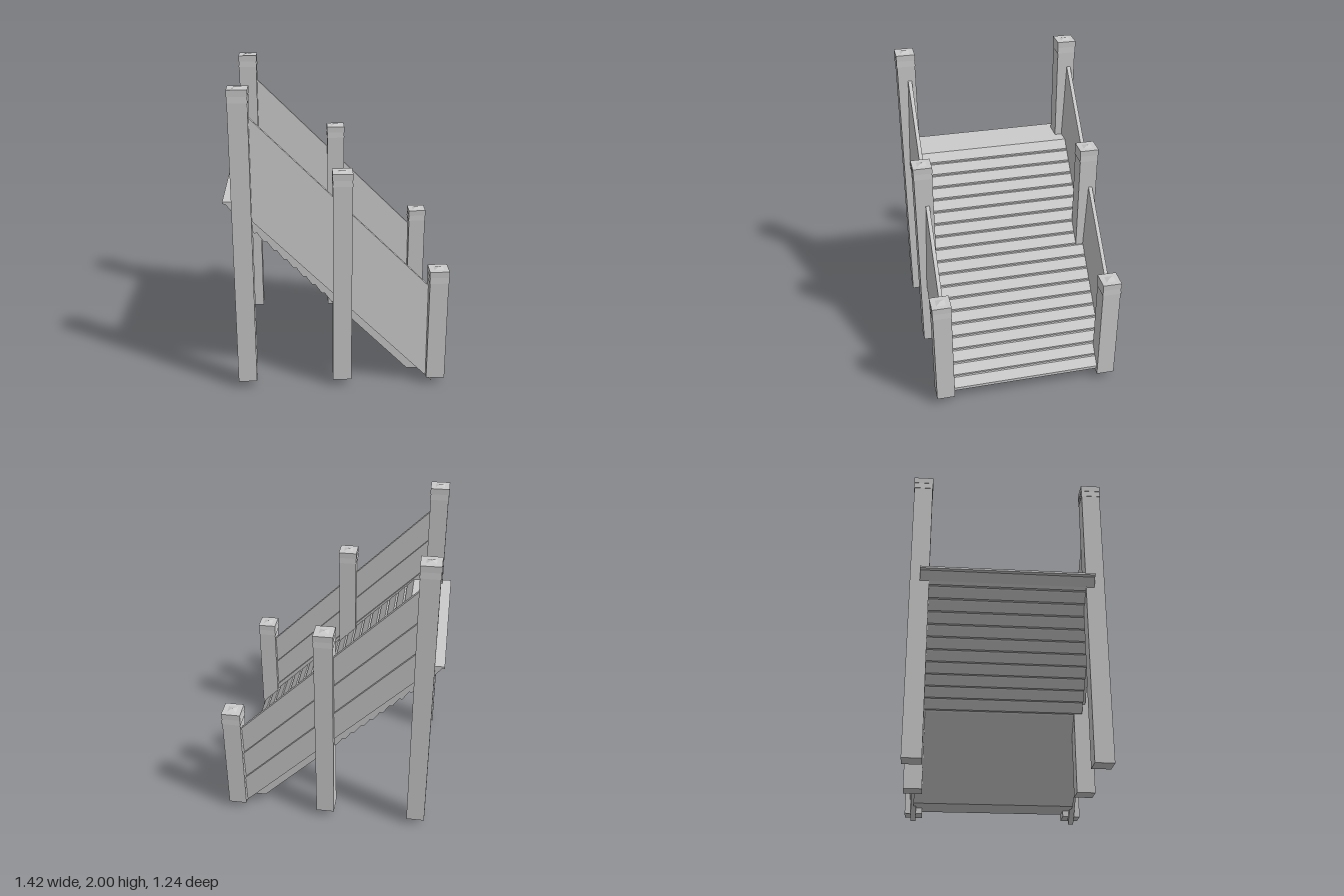
import * as THREE from 'three';

const material = new THREE.MeshStandardMaterial({ color: 0xcccccc, flatShading: true });

function part(name, geometry, parent) {
  const mesh = new THREE.Mesh(geometry, material);
  mesh.name = name;
  parent.add(mesh);
  return mesh;
}

function extrude(points, depth) {
  const shape = new THREE.Shape(points.map(([x, y]) => new THREE.Vector2(x, y)));
  return new THREE.ExtrudeGeometry(shape, { depth, bevelEnabled: false });
}

// Square frustum standing on y = 0
function frustum(topWidth, bottomWidth, height) {
  return new THREE.CylinderGeometry(topWidth / Math.SQRT2, bottomWidth / Math.SQRT2, height, 4)
    .rotateY(Math.PI / 4).translate(0, height / 2, 0);
}

// Square post with a two-band cap and a small pyramid on top
function createPost(x, z, top) {
  const post = new THREE.Group();
  post.name = 'post';
  const base = 0.05, capBottom = top - 0.09;
  part('postShaft', frustum(0.12, 0.12, capBottom - base), post).position.y = base;
  part('capBand', frustum(0.12, 0.126, 0.04), post).position.y = capBottom;
  part('capBlock', frustum(0.125, 0.125, 0.04), post).position.y = top - 0.05;
  part('capPyramid', frustum(0, 0.06, 0.01), post).position.y = top - 0.01;
  post.position.set(x, 0, z);
  return post;
}

// Sloping side wall: slanted front face, three overlapping boards on the back
function createSideWall() {
  const x0 = -0.59, x1 = 0.625, bottom = 0.63, height = 0.645, boards = 3;
  const points = [[-0.025, 0], [0, height]]; // [-z, height above lower edge]
  for (let i = boards; i > 0; i--) {
    points.push([0.025, (height * i) / boards], [0.01, (height * (i - 1)) / boards]);
  }
  points.reverse();
  const geometry = extrude(points, x1 - x0).rotateY(Math.PI / 2).translate(x0, bottom, 0);
  const p = geometry.attributes.position;
  for (let i = 0; i < p.count; i++) p.setY(i, p.getY(i) - p.getX(i)); // shear to the slope
  geometry.computeVertexNormals();
  return geometry;
}

// Solid ramp with a flat landing, ribbed planks above and a stepped underside
function createRamp() {
  const points = [];
  // Underside steps, from the landing edge to the middle posts
  points.push([-0.71, 1.28], [-0.71, 1.267], [-0.69, 1.262], [-0.65, 1.21]);
  const lumps = 11;
  for (let i = 0; i < lumps; i++) {
    const x = -0.64 + i * 0.06;
    points.push([x, 0.55 - x], [x + 0.02, 0.55 - x], [x + 0.025, 0.54 - x]);
  }
  points.push([0.05, 0.505], [0.46, 0.09], [0.69, 0.09], [0.69, 0.1]);
  // Plank tops, from the foot up to the landing
  const planks = 19, dx = 1.15 / planks, dy = 1.18 / planks;
  for (let i = planks - 1; i >= 0; i--) {
    const x = -0.46 + i * dx, y = 1.28 - i * dy;
    points.push([x + dx, y - dy + 0.011], [x + 0.013, y]);
    points.push([x, y]);
  }
  return extrude(points, 1.105).translate(0, 0, -0.555);
}

export function createModel() {
  const model = new THREE.Group();
  model.name = 'rampWithRailings';

  part('ramp', createRamp(), model);

  const wall = createSideWall();
  part('frontSideWall', wall, model).position.z = 0.55;
  part('backSideWall', wall, model).position.z = -0.565;

  for (const z of [0.557, -0.557]) {
    for (const [x, top] of [[-0.59, 2], [0.03, 1.48], [0.645, 0.825]]) {
      model.add(createPost(x, z, top));
    }
  }
  return model;
}
